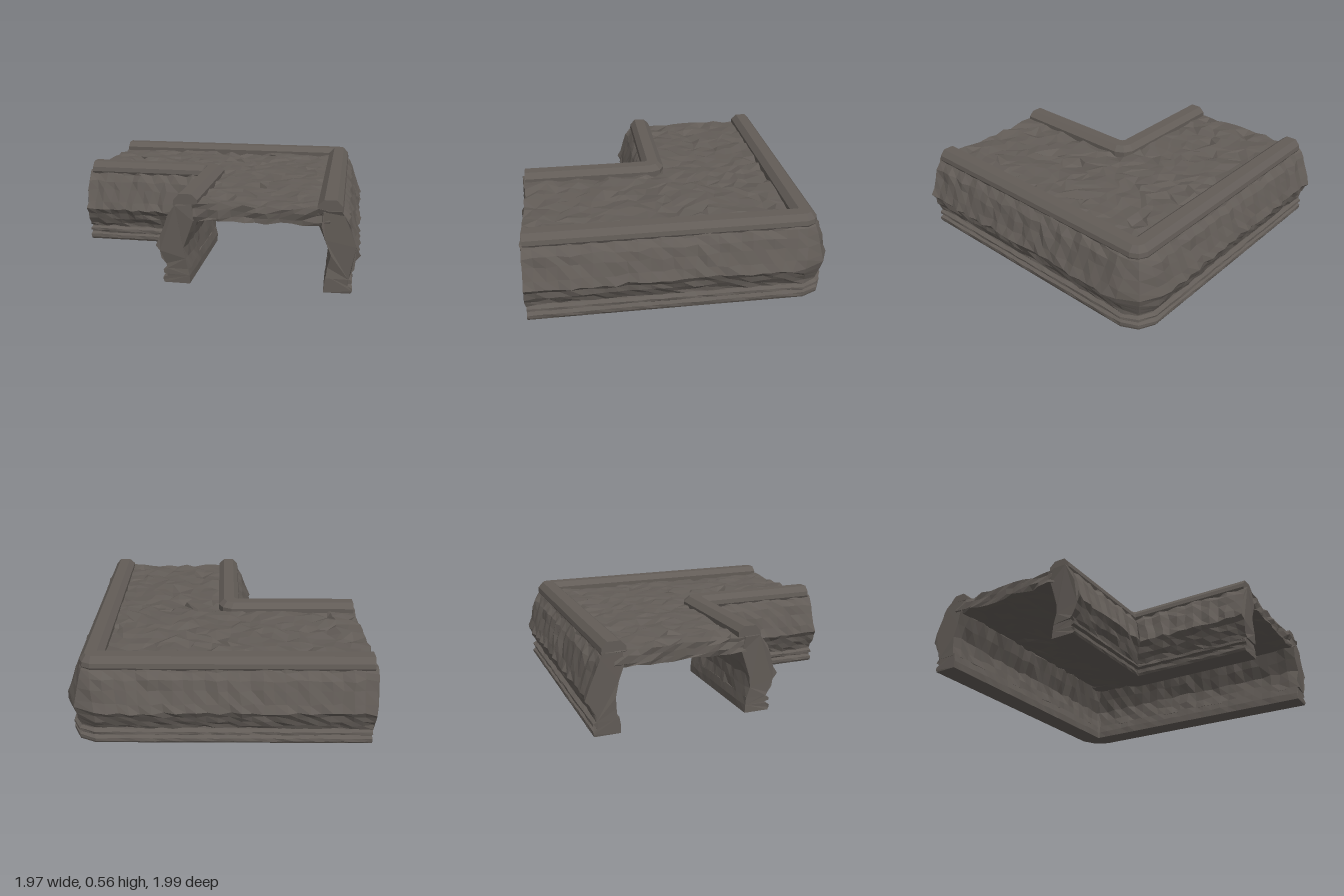
import * as THREE from 'three';

const XC = 0.365, ZC = -0.38;            // centre lines of the two arms
const material = new THREE.MeshStandardMaterial({ color: 0x625c57, flatShading: true, side: THREE.DoubleSide });

// Repeatable noise in -1..1
function noise(a, b, c) {
  const v = Math.sin(a * 127.1 + b * 311.7 + c * 74.7) * 43758.5453;
  return (v - Math.floor(v)) * 2 - 1;
}

function makeMesh(name, positions, indices) {
  const indexed = new THREE.BufferGeometry();
  indexed.setAttribute('position', new THREE.Float32BufferAttribute(positions, 3));
  indexed.setIndex(indices);
  const geometry = indexed.toNonIndexed();
  geometry.computeVertexNormals();
  const mesh = new THREE.Mesh(geometry, material);
  mesh.name = name;
  return mesh;
}

// Sweeps a closed (offset, height) outline round the L-shaped bend.
// side +1 is the outer wall, -1 the inner one.
function sweep(name, outline, side, steps, rough, scallop, inset) {
  const profile = outline.map(([d, y]) => [d * side, y]);
  if (side < 0) profile.reverse();
  const m = profile.length, stations = 2 * steps + 3;
  const positions = [], indices = [];
  for (let i = 0; i < stations; i++) {
    profile.forEach(([d0, y0], j) => {
      let d = d0, y = y0;
      const wave = i % 2 ? -scallop : scallop;
      if (y > 0.005) {
        d += side * (y > 0.2 ? wave : wave * 0.4) + rough * noise(i, j, 1 + side);
        y += rough * noise(i, j, 5 + side);
      }
      // convex corners are cut back and rounded
      const cut = 0.004 + (side > 0 ? 3.3 * Math.max(0, d - 0.355) ** 2 : 0.6 * Math.max(0, d + 0.505));
      const X = XC + d, Z = ZC - d;
      const ragged = rough * noise(i, j, 9 + side);
      let x = X, z = Z;
      if (i <= steps) {
        x = THREE.MathUtils.lerp(-0.975 + inset, X - cut, i / steps) + ragged;
      } else if (i === steps + 1) {
        x = X - cut * 0.33;
        z = Z + cut * 0.33;
      } else {
        z = THREE.MathUtils.lerp(Z + cut, 0.985 - inset, (i - steps - 2) / steps) + ragged;
      }
      positions.push(x, Math.max(0, y), z);
    });
  }
  for (let i = 0; i < stations - 1; i++) {
    for (let j = 0; j < m; j++) {
      const a = i * m + j, b = i * m + (j + 1) % m;
      indices.push(a, b, b + m, a, b + m, a + m);
    }
  }
  // end caps
  const last = (stations - 1) * m;
  const flat = profile.map(([d, y]) => new THREE.Vector2(d, y));
  for (const [a, b, c] of THREE.ShapeUtils.triangulateShape(flat, [])) {
    indices.push(c, b, a, last + a, last + b, last + c);
  }
  return makeMesh(name, positions, indices);
}

// Break points of the slab grid: a fine run on each side of the middle line
function gridLines(a, b, c, n1, n2) {
  const lines = [];
  for (let i = 0; i < n1; i++) lines.push(a + (b - a) * i / n1);
  for (let i = 0; i <= n2; i++) lines.push(b + (c - b) * i / n2);
  return lines;
}

// L-shaped rough stone slab with ragged open ends
function createSlab() {
  const nA = 12, nB = 12;
  const xs = gridLines(-0.97, -0.07, 0.79, nA, nB);
  const zs = gridLines(-0.81, 0.05, 0.975, nB, nA);
  const levels = [0.405, 0.43, 0.47, 0.503];
  const w = xs.length, h = zs.length, layer = w * h;
  const positions = [], indices = [];
  levels.forEach((level, k) => zs.forEach((z, r) => xs.forEach((x, c) => {
    const chip = k === 3 && noise(c, r, 21) > 0.84 ? -0.022 : 0;
    const end = c === 0 || r === h - 1 ? 0.012 : 0.028;
    positions.push(
      x + end * noise(c, r, k + 2),
      level + chip + 0.010 * noise(c, r, k + 11),
      z + end * noise(c, r, k + 31));
  })));
  const top = 3 * layer;
  for (let r = 0; r < h - 1; r++) {
    for (let c = 0; c < w - 1; c++) {
      if (c < nA && r >= nB) continue;
      const a = r * w + c, b = a + 1, d = a + w, e = d + 1;
      if (noise(c, r, 50) > 0) indices.push(top + a, top + d, top + e, top + a, top + e, top + b);
      else indices.push(top + a, top + d, top + b, top + b, top + d, top + e);
      indices.push(a, e, d, a, b, e);
    }
  }
  for (let k = 0; k < 3; k++) {
    const o = k * layer;
    for (let r = 0; r < nB; r++) {           // left-arm end
      const a = o + r * w, b = a + w;
      indices.push(a, b, b + layer, a, b + layer, a + layer);
    }
    for (let c = nA; c < w - 1; c++) {       // front-arm end
      const a = o + (h - 1) * w + c, b = a + 1;
      indices.push(a, b, b + layer, a, b + layer, a + layer);
    }
  }
  return makeMesh('walkwaySlab', positions, indices);
}

export function createModel() {
  const model = new THREE.Group();
  model.name = 'cornerWalkway';

  // Outlines run from the inside foot outwards, up and back
  const plinth = [
    [0.405, 0], [0.565, 0], [0.572, 0.015], [0.572, 0.035], [0.545, 0.045], [0.548, 0.058],
    [0.57, 0.064], [0.57, 0.08], [0.545, 0.092], [0.54, 0.105], [0.415, 0.105], [0.405, 0.05],
  ];
  const wall = [
    [0.415, 0.095], [0.545, 0.095], [0.555, 0.125], [0.575, 0.16], [0.585, 0.2], [0.608, 0.235],
    [0.585, 0.29], [0.558, 0.37], [0.54, 0.43], [0.508, 0.475], [0.49, 0.5], [0.385, 0.5],
    [0.372, 0.405], [0.4, 0.32], [0.432, 0.235], [0.425, 0.16],
  ];
  const rail = [
    [0.358, 0.475], [0.498, 0.475], [0.508, 0.495], [0.503, 0.525],
    [0.47, 0.562], [0.395, 0.562], [0.357, 0.527],
  ];

  for (const [side, label, steps] of [[1, 'outer', 25], [-1, 'inner', 13]]) {
    const group = new THREE.Group();
    group.name = label + 'Wall';
    group.add(
      sweep(label + 'Plinth', plinth, side, steps, 0.003, 0.001, 0.008),
      sweep(label + 'WallBody', wall, side, steps, 0.008, 0.005, 0),
      sweep(label + 'Rail', rail, side, 1, 0, 0, 0.015));
    model.add(group);
  }
  model.add(createSlab());
  return model;
}
